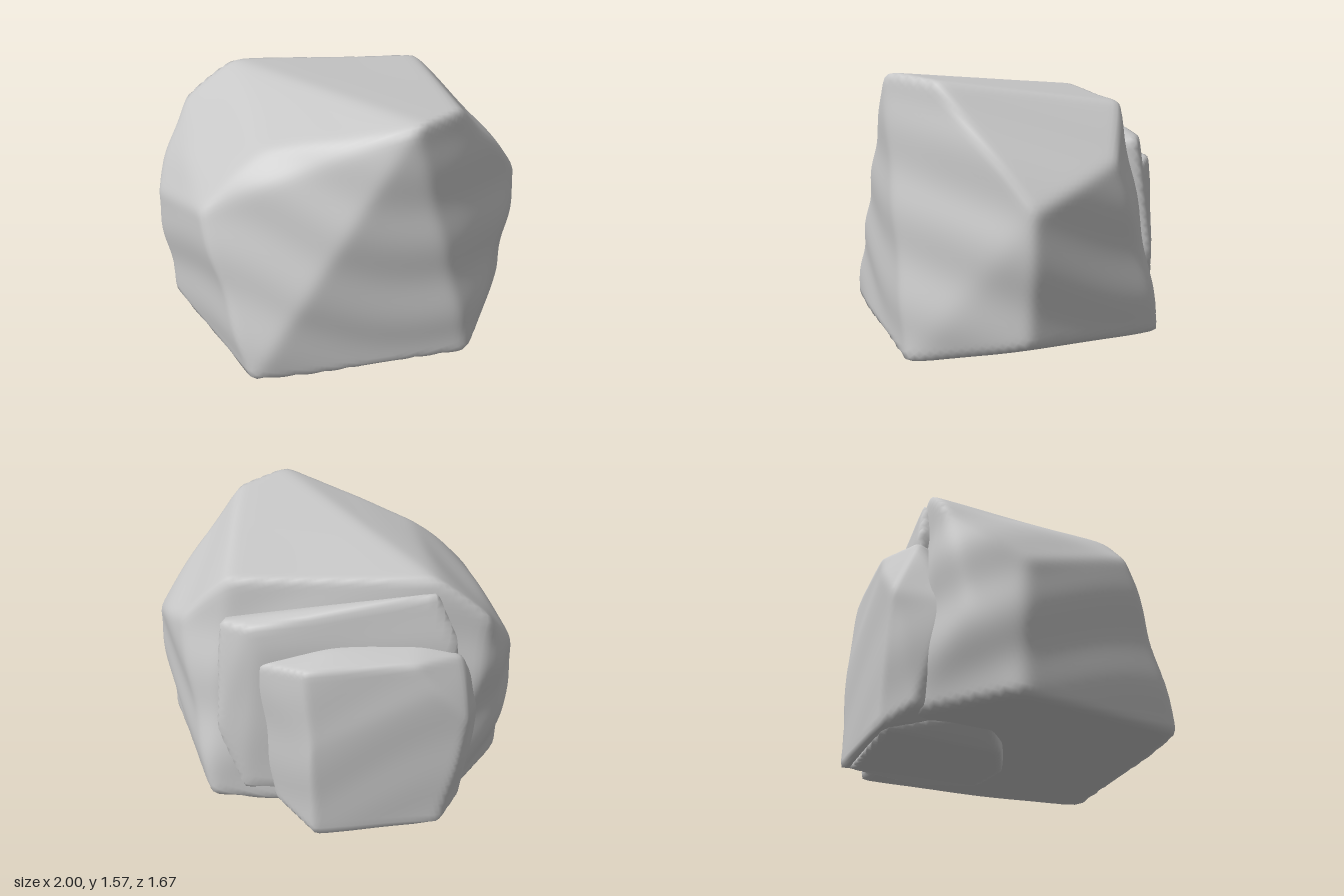
import * as THREE from 'three';
import { mergeVertices } from 'three/addons/utils/BufferGeometryUtils.js';
import { ConvexGeometry } from 'three/addons/geometries/ConvexGeometry.js';

// Distinct face planes of the convex hull around some corner points
function hullPlanes(corners) {
  const pos = new ConvexGeometry(corners).getAttribute('position');
  const planes = [];
  const tri = new THREE.Triangle();
  for (let i = 0; i < pos.count; i += 3) {
    tri.setFromAttributeAndIndices(pos, i, i + 1, i + 2);
    if (tri.getArea() < 1e-5) continue;
    const plane = tri.getPlane(new THREE.Plane());
    if (!planes.some((p) => p.normal.dot(plane.normal) > 0.998)) planes.push(plane);
  }
  return planes;
}

// Chiselled stone: a sphere pushed out to the hull, with rounded edges and faint strata
function stone(points, centre, sharpness, detail, ripple) {
  const planes = hullPlanes(points.map((p) => new THREE.Vector3(...p)));
  const c = new THREE.Vector3(...centre);
  let geo = new THREE.IcosahedronGeometry(1, detail);
  geo.deleteAttribute('uv');
  geo.deleteAttribute('normal');
  geo = mergeVertices(geo, 1e-5);
  const pos = geo.getAttribute('position');
  const v = new THREE.Vector3();
  for (let i = 0; i < pos.count; i++) {
    v.fromBufferAttribute(pos, i).normalize();
    let sum = 0;
    for (const p of planes) {
      const inverse = v.dot(p.normal) / -p.distanceToPoint(c);
      if (inverse > 0) sum += inverse ** sharpness;
    }
    v.multiplyScalar(sum ** (-1 / sharpness));
    const side = 1 - Math.min(1, Math.abs(v.y) / 0.75) ** 4;
    const wave = Math.sin(13 * v.y + 4 * v.x - 3 * v.z + 1.5 * Math.sin(3 * v.x + 2 * v.z));
    v.multiplyScalar(1 + ripple * side * wave).add(c);
    pos.setXYZ(i, v.x, v.y, v.z);
  }
  geo.computeVertexNormals();
  return geo;
}

export function createModel() {
  const group = new THREE.Group();
  group.name = 'rock';
  const grey = new THREE.MeshStandardMaterial({ color: 0xc8c8c8 });
  grey.name = 'stone grey';

  const add = (name, geometry) => {
    const mesh = new THREE.Mesh(geometry, grey);
    mesh.name = name;
    group.add(mesh);
  };

  // Main boulder
  add('boulder', stone([
    // top
    [0.15, 1.55, 0.81], [0.48, 1.53, 0.63], [0.62, 1.4, -0.37], [-0.45, 1.43, -0.6],
    [-0.76, 1.2, -0.64], [-0.55, 1.34, 0.38], [-0.89, 1.04, 0.39],
    // middle
    [1.02, 0.9, 0.31], [0.88, 1.13, -0.22], [-1.02, 0.8, -0.28], [-0.88, 0.6, -0.54],
    // bottom
    [0.95, 0.21, 0.31], [0.79, 0.13, -0.56], [0.53, 0.06, 0.83], [-0.73, 0.12, 0.75],
    [-0.94, 0.11, -0.3], [-0.55, 0.07, -0.7], [0, 0.05, -0.62],
  ], [0, 0.72, 0.05], 80, 40, 0.01));

  // Shelf just below the rear top edge
  add('rearShelf', stone([
    [0.68, 1.2, -0.44], [0.53, 1.2, -0.55], [-0.1, 1.31, -0.6], [-0.45, 1.37, -0.63],
    [-0.56, 1.1, -0.69], [0.73, 0.6, -0.52], [0.6, 0.2, -0.6], [-0.5, 0.2, -0.72],
    [0.45, 1.15, -0.1], [-0.45, 1.2, -0.1], [0.5, 0.2, -0.1], [-0.5, 0.2, -0.1],
  ], [0, 0.75, -0.36], 90, 30, 0.004));

  // Thick slab standing against the back
  add('backSlab', stone([
    // top rim
    [0.56, 0.98, -0.51], [0.27, 1.04, -0.77], [-0.3, 1.06, -0.81], [-0.38, 1.09, -0.63],
    [-0.58, 1.03, -0.7], [0.1, 1.09, -0.62],
    // sides
    [-0.6, 0.7, -0.84], [-0.74, 0.66, -0.57], [0.25, 0.6, -0.82],
    // foot
    [0.43, 0.13, -0.62], [0.22, 0.01, -0.82], [-0.47, 0.01, -0.83], [-0.62, 0.1, -0.7],
    // hidden inside the boulder
    [0.45, 0.95, -0.25], [-0.4, 1, -0.25], [0.35, 0.12, -0.3], [-0.5, 0.12, -0.3],
  ], [-0.1, 0.55, -0.55], 90, 32, 0.008));

  // Low bulge under the base
  add('baseBulge', stone([
    [0.18, -0.005, -0.04], [-0.1, 0, 0], [-0.35, 0.012, -0.12], [-0.45, 0.012, -0.8],
    [0.2, 0.005, -0.78], [0.28, 0.02, -0.4], [-0.58, 0.12, -0.3], [0.55, 0.09, -0.25],
    [0.2, 0.5, 0], [-0.35, 0.5, -0.05], [-0.4, 0.5, -0.68], [0.15, 0.5, -0.66],
  ], [-0.06, 0.25, -0.4], 90, 24, 0));

  return group;
}
